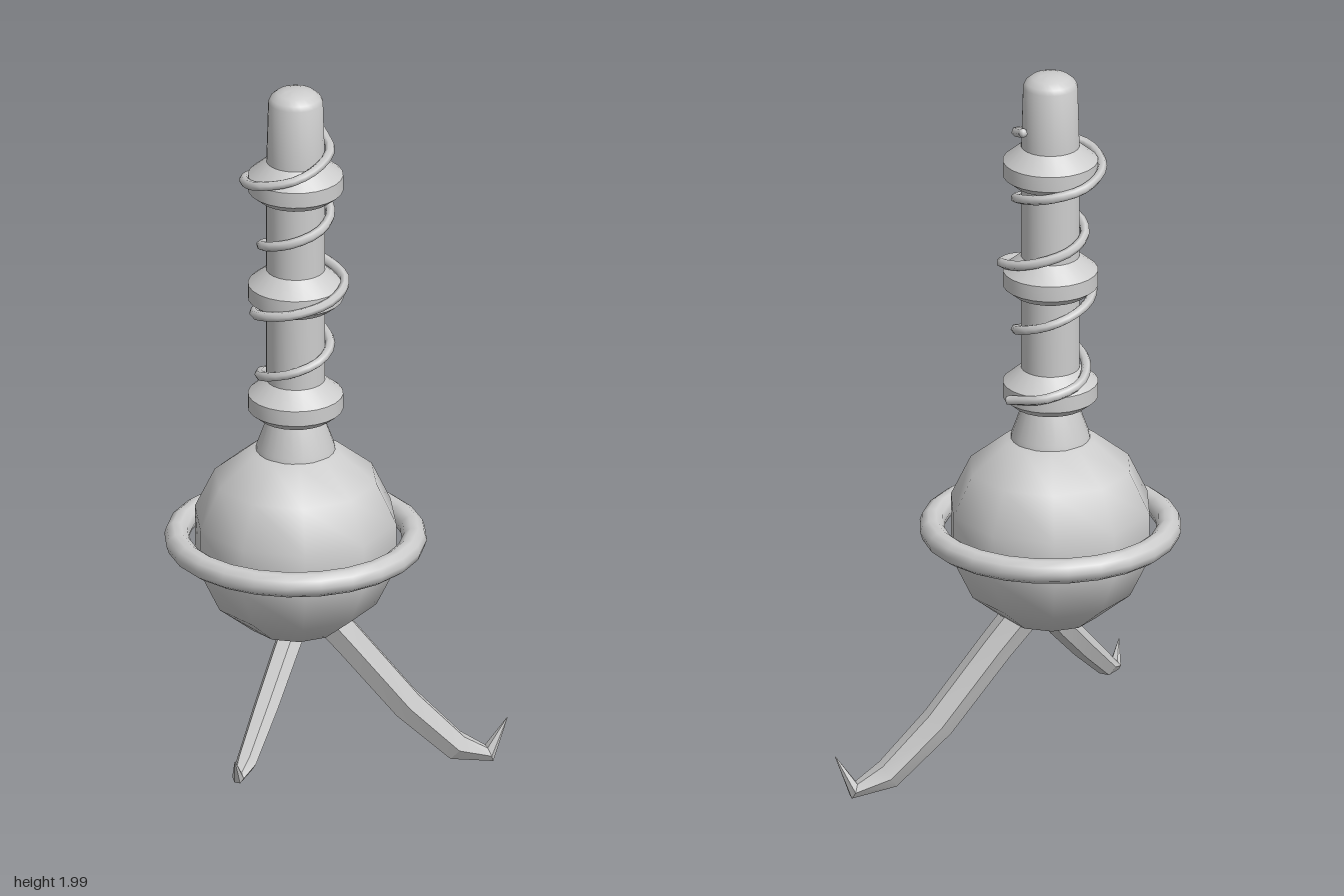
import * as THREE from 'three';
import { toCreasedNormals } from 'three/addons/utils/BufferGeometryUtils.js';

const AXIS_X = -0.082;
const COLLARS = [1.11, 1.425, 1.735];

// Faceted limb: hexagonal rings [x, y, z, radius] along a path, ending in a point
function limbGeometry(sections, sides = 6) {
  const pts = sections.map(s => new THREE.Vector3(s[0], s[1], s[2]));
  const last = pts.length - 1;
  const side = new THREE.Vector3().subVectors(pts[last], pts[0]).setY(0)
    .cross(new THREE.Vector3(0, 1, 0)).normalize();
  const rings = pts.map((p, i) => {
    const t = new THREE.Vector3();
    if (i > 0) t.add(p.clone().sub(pts[i - 1]).normalize());
    if (i < last) t.add(pts[i + 1].clone().sub(p).normalize());
    t.normalize();
    const u = side.clone().addScaledVector(t, -side.dot(t)).normalize();
    const v = t.clone().cross(u);
    return Array.from({ length: sides }, (_, j) => {
      const a = (j / sides) * Math.PI * 2, r = sections[i][3];
      return p.clone().addScaledVector(u, r * Math.cos(a)).addScaledVector(v, r * Math.sin(a));
    });
  });
  const out = [];
  for (let i = 0; i < last; i++) {
    for (let j = 0; j < sides; j++) {
      const k = (j + 1) % sides;
      const a = rings[i][j], b = rings[i][k], c = rings[i + 1][k], d = rings[i + 1][j];
      out.push(a, b, c, a, c, d);
    }
  }
  const g = new THREE.BufferGeometry().setFromPoints(out);
  g.computeVertexNormals();
  return g;
}

// Spiral radius: hugs the shaft and swells over each collar
function spiralRadius(y) {
  const d = Math.min(...COLLARS.map(c => Math.abs(y - c)));
  return THREE.MathUtils.lerp(0.136, 0.091, THREE.MathUtils.smoothstep(d, 0.02, 0.08));
}

export function createModel() {
  const model = new THREE.Group();
  const grey = new THREE.MeshStandardMaterial({ color: 0xcccccc });
  grey.name = 'light grey';
  const add = (name, geometry, x = 0, y = 0, z = 0) => {
    const mesh = new THREE.Mesh(geometry, grey);
    mesh.name = name;
    mesh.position.set(x, y, z);
    model.add(mesh);
    return mesh;
  };
  const lathe = profile => toCreasedNormals(
    new THREE.LatheGeometry(profile.map(p => new THREE.Vector2(p[0], p[1])), 24), 0.5);

  // Round body and the ring around it
  add('body', new THREE.SphereGeometry(0.277, 10, 7), AXIS_X, 0.72).rotation.y = Math.PI / 2;
  add('bodyRing', new THREE.TorusGeometry(0.311, 0.033, 10, 24), AXIS_X, 0.72)
    .rotation.x = Math.PI / 2;

  // Flared neck, shaft and domed tip
  add('neck', lathe([[0.106, 0.96], [0.102, 0.985], [0.068, 1.08]]), AXIS_X);
  add('shaft', lathe([[0.077, 1.07], [0.077, 1.79], [0.072, 1.965],
    [0.066, 1.978], [0.05, 1.991], [0.028, 1.998], [0, 2]]), AXIS_X);

  // Bevelled collars
  for (const y of COLLARS) {
    add('collar', lathe([[0.06, -0.042], [0.098, -0.042], [0.125, -0.02],
      [0.125, 0.022], [0.077, 0.062]]), AXIS_X, y);
  }

  // Vine winding four turns up the shaft
  const turns = 4, steps = 8;
  const path = Array.from({ length: turns * steps + 1 }, (_, i) => {
    const a = (i / steps) * Math.PI * 2;
    const y = 1.11 + 0.745 * i / (turns * steps), r = spiralRadius(y);
    return new THREE.Vector3(r * Math.cos(a), y, -r * Math.sin(a));
  });
  add('spiral', new THREE.TubeGeometry(new THREE.CatmullRomCurve3(path), 96, 0.013, 6), AXIS_X);
  for (const end of [path[0], path[path.length - 1]]) {
    add('spiralEnd', new THREE.SphereGeometry(0.013, 6, 4), AXIS_X + end.x, end.y, end.z);
  }

  // Two faceted legs with upturned toes
  add('leftLeg', limbGeometry([
    [-0.03, 0.53, 0, 0.05], [0.06, 0.4, 0.05, 0.047], [0.2, 0.2, 0.115, 0.046],
    [0.32, 0.063, 0.175, 0.04], [0.405, 0.028, 0.212, 0.024], [0.448, 0.125, 0.235, 0.001]]));
  add('rightLeg', limbGeometry([
    [-0.05, 0.51, -0.01, 0.036], [-0.13, 0.425, 0.02, 0.036], [-0.255, 0.31, 0.08, 0.034],
    [-0.375, 0.205, 0.138, 0.028], [-0.425, 0.185, 0.163, 0.016], [-0.453, 0.246, 0.183, 0.001]]));

  for (const leg of model.children.filter(m => m.name.endsWith('Leg'))) {
    leg.geometry = toCreasedNormals(leg.geometry, 0.3);
  }
  return model;
}
